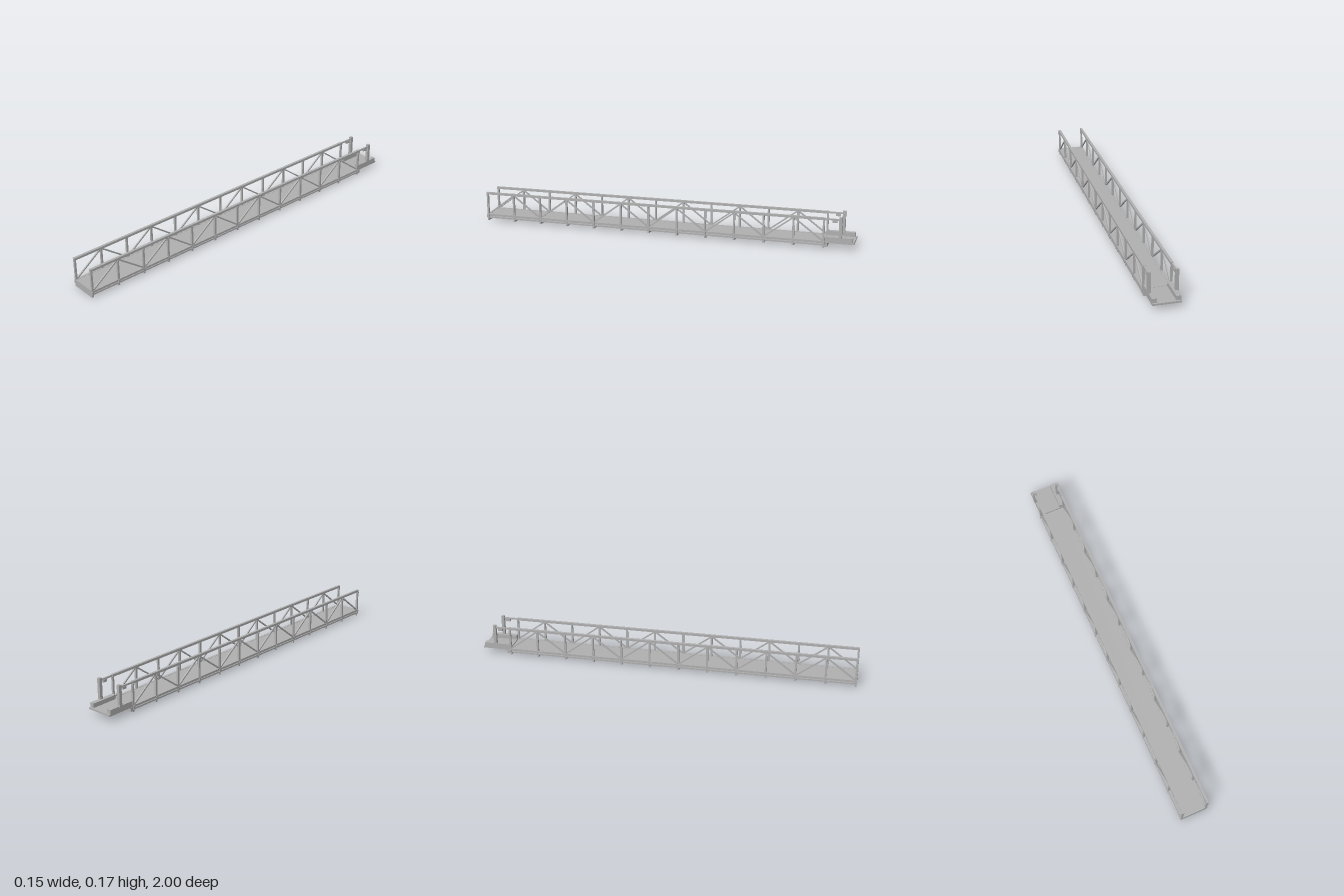
import * as THREE from 'three';

export function createModel() {
  const bridge = new THREE.Group();
  bridge.name = 'footbridge';
  const steel = new THREE.MeshStandardMaterial({ color: 0xb0b0b0 });
  steel.name = 'grey steel';

  // box given by its min and max corners
  function box(name, x0, x1, y0, y1, z0, z1, parent = bridge) {
    const m = new THREE.Mesh(new THREE.BoxGeometry(x1 - x0, y1 - y0, z1 - z0), steel);
    m.position.set((x0 + x1) / 2, (y0 + y1) / 2, (z0 + z1) / 2);
    m.name = name;
    parent.add(m);
    return m;
  }

  // square bar running between two points
  function bar(name, a, b, w, h, parent = bridge) {
    const from = new THREE.Vector3(...a), to = new THREE.Vector3(...b);
    const m = new THREE.Mesh(new THREE.BoxGeometry(w, h, from.distanceTo(to)), steel);
    m.position.copy(from).add(to).multiplyScalar(0.5);
    m.lookAt(to);
    m.name = name;
    parent.add(m);
    return m;
  }

  const panels = 12, zFront = 0.995, zBack = -0.846;
  const nodeZ = i => zFront + (zBack - zFront) * i / panels;

  // walkway
  box('deck', -0.062, 0.062, 0.034, 0.038, zBack, 0.996);
  box('frontPlate', -0.069, 0.069, 0.001, 0.039, 0.994, 1);

  // side trusses
  for (const s of [-1, 1]) {
    const truss = new THREE.Group();
    truss.name = s > 0 ? 'leftTruss' : 'rightTruss';
    bridge.add(truss);
    const side = (name, xa, xb, ...r) => box(name, Math.min(s * xa, s * xb), Math.max(s * xa, s * xb), ...r, truss);

    side('topChord', 0.06, 0.073, 0.148, 0.16, zBack - 0.005, 1);
    side('bottomChordUpper', 0.06, 0.073, 0.028, 0.039, zBack - 0.005, 1);
    side('bottomChordLower', 0.061, 0.072, 0.016, 0.024, zBack - 0.005, 1);

    for (let i = 0; i <= panels; i++) {
      const z = nodeZ(i);
      side('post', 0.062, 0.072, 0.018, 0.15, z - 0.005, z + 0.005);
      side('lowerNode', 0.07, 0.0755, 0.019, 0.036, z - 0.006, z + 0.006);
      side('upperNode', 0.071, 0.0755, 0.14, 0.148, z - 0.004, z + 0.004);
      if (i < panels) {
        const up = i % 2 === 0;
        bar('diagonal', [s * 0.067, up ? 0.036 : 0.15, z],
          [s * 0.067, up ? 0.15 : 0.036, nodeZ(i + 1)], 0.007, 0.007, truss);
      }
    }

    // handrail end with its latch, gate post and landing kerb
    side('handrailEnd', 0.063, 0.07, 0.15, 0.158, -0.922, zBack);
    side('latch', 0.06, 0.071, 0.138, 0.152, -0.912, -0.888);
    side('gatePost', 0.058, 0.074, 0.058, 0.167, -0.938, -0.922);
    side('kerb', 0.046, 0.069, 0.036, 0.061, -0.992, -0.852);
  }

  // landing at the back
  box('landing', -0.069, 0.069, 0.03, 0.039, -1, -0.85);

  // cross beams and floor bracing
  for (let i = 0; i <= panels; i++) {
    const z = nodeZ(i);
    box('crossBeam', -0.07, 0.07, 0.004, 0.02, z - 0.005, z + 0.005);
    if (i < panels) {
      for (const s of [-1, 1]) {
        bar('floorBrace', [s * 0.062, 0.02, z], [-s * 0.062, 0.02, nodeZ(i + 1)], 0.006, 0.005);
      }
    }
  }
  box('endBeam', -0.07, 0.07, 0.01, 0.03, -0.866, -0.848);
  for (const x of [-0.024, 0.024]) {
    box('stringer', x - 0.005, x + 0.005, 0.02, 0.035, zBack, 0.996);
  }
  return bridge;
}
